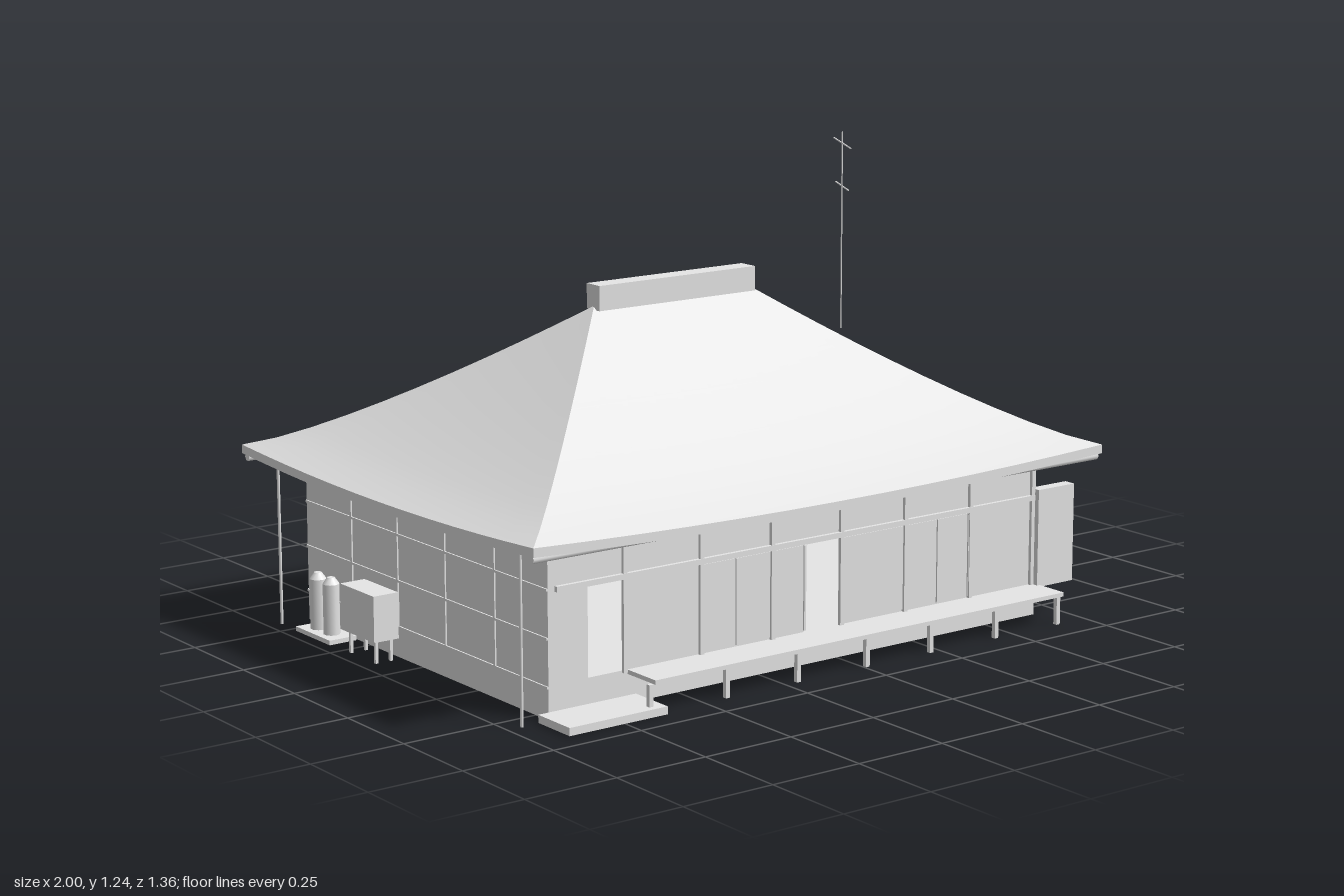
import * as THREE from 'three';

const plaster = new THREE.MeshStandardMaterial({ color: 0xe6e6e6, side: THREE.DoubleSide });
plaster.name = 'light grey';

export function createModel() {
  const model = new THREE.Group();
  model.name = 'house';

  const add = (name, geo) => {
    const m = new THREE.Mesh(geo, plaster);
    m.name = name;
    model.add(m);
    return m;
  };
  // Box given by its two extreme corners
  const box = (name, x0, x1, y0, y1, z0, z1) => {
    const m = add(name, new THREE.BoxGeometry(x1 - x0, y1 - y0, z1 - z0));
    m.position.set((x0 + x1) / 2, (y0 + y1) / 2, (z0 + z1) / 2);
    return m;
  };
  const pole = (name, x, z, y0, y1, r, sides = 8, rTop = r) => {
    const m = add(name, new THREE.CylinderGeometry(rTop, r, y1 - y0, sides));
    m.position.set(x, (y0 + y1) / 2, z);
    return m;
  };

  // Raised floor, thin walls running down to the ground as an open skirt
  const L = -0.88, R = 0.67, Z = 0.555, W = 0.006, top = 0.445;
  box('floor', L + W, R - W, 0.077, 0.084, -Z + W, Z - W);
  box('backWall', L, R, 0, top, -Z, -Z + W);
  box('leftOuterWall', L, L + W, 0, top, -Z, Z);
  box('rightOuterWall', R - W, R, 0, top, -Z, Z);

  const toShape = pts => pts.map(p => new THREE.Vector2(...p));
  const front = new THREE.Shape(toShape([[L, 0], [R, 0], [R, top], [L, top]]));
  for (const [a, b] of [[-0.765, -0.66], [-0.107, 0.01]]) {
    front.holes.push(new THREE.Path(toShape([[a, 0.085], [a, 0.31], [b, 0.31], [b, 0.085]])));
  }
  const frontWall = add('frontWall', new THREE.ExtrudeGeometry(front, { depth: W, bevelEnabled: false }));
  frontWall.position.z = Z - W;

  // Timber framing on front, back and left sides
  const bays = [-0.66, -0.43, -0.21, 0.01, 0.22, 0.44, 0.655];
  for (const x of bays) {
    box('frontPost', x - 0.006, x + 0.006, 0.08, 0.42, Z, Z + 0.009);
    if (x < 0.1) box('backPost', x - 0.003, x + 0.003, 0.08, 0.42, -Z - 0.004, -Z);
  }
  box('lintel', L + 0.02, R - 0.01, 0.313, 0.327, Z, Z + 0.01);
  box('topBeam', L, R, 0.412, 0.425, Z, Z + 0.009);
  for (const y of [0.08, 0.2, 0.32]) {
    box('backRail', L, R, y - 0.003, y + 0.003, -Z - 0.004, -Z);
    box('leftRail', L - 0.004, L, y - 0.003, y + 0.003, -Z, Z);
  }
  for (const z of [-0.33, -0.11, 0.11, 0.33]) box('leftPost', L - 0.004, L, 0.08, 0.42, z - 0.003, z + 0.003);
  box('rightRail', R, R + 0.003, 0.078, 0.083, -Z, Z);

  // Sliding doors
  for (const [a, b] of [[-0.32, -0.107], [0.01, 0.22], [0.225, 0.33], [0.33, 0.435], [-0.43, -0.32]]) {
    box('doorPanel', a + 0.004, b - 0.004, 0.09, 0.31, Z, Z + 0.003);
    for (const x of [a, b]) box('doorStile', x - 0.003, x + 0.003, 0.09, 0.31, Z, Z + 0.006);
  }

  // Back windows with raised frames
  for (const [a, b, c, d] of [[0.268, 0.383, 0.255, 0.337], [-0.615, -0.475, 0.215, 0.325]]) {
    const z0 = -Z - 0.012;
    box('windowPane', a, b, c, d, -Z - 0.007, -Z);
    for (const y of [c, d]) box('windowRail', a, b, y - 0.006, y + 0.006, z0, -Z);
    for (const x of [a, b]) box('windowStile', x - 0.006, x + 0.006, c - 0.006, d + 0.006, z0, -Z);
  }

  // Shutter box, veranda and entrance step
  box('shutterBox', 0.66, 0.785, 0.08, 0.343, 0.545, 0.578);
  box('verandaDeck', -0.65, R, 0.074, 0.085, Z, 0.67);
  for (const x of bays) box('verandaLeg', x - 0.006, x + 0.006, 0, 0.075, 0.655, 0.667);
  box('entranceStep', -0.91, -0.625, 0, 0.02, Z, 0.685);

  // Hipped roof: concave slope with eaves lifted at the corners
  const N = 10, M = 12;
  const corner = (t, i) => {
    const x0 = -1 + 0.65 * t, x1 = 0.79 - 0.645 * t, z = 0.675 * (1 - t);
    return [[x0, z], [x1, z], [x1, -z], [x0, -z]][i % 4];
  };
  const roofPoint = (side, t, u, drop) => {
    const a = corner(t, side), b = corner(t, side + 1), k = 2 * u - 1;
    const y = 0.465 + 0.395 * Math.pow(t, 1.25) - 0.022 * (1 - t) ** 2 * (1 - k * k) - drop;
    return [a[0] + (b[0] - a[0]) * u, y, a[1] + (b[1] - a[1]) * u];
  };
  const roofSheet = (name, rows, point, flip) => {
    const pos = [], idx = [];
    for (let j = 0; j <= rows; j++) for (let i = 0; i <= M; i++) pos.push(...point(j / rows, i / M));
    for (let j = 0; j < rows; j++) for (let i = 0; i < M; i++) {
      const a = j * (M + 1) + i, b = a + 1, c = a + M + 1, d = c + 1;
      idx.push(...(flip ? [a, d, b, a, c, d] : [a, b, d, a, d, c]));
    }
    const g = new THREE.BufferGeometry();
    g.setAttribute('position', new THREE.Float32BufferAttribute(pos, 3));
    g.setIndex(idx);
    g.computeVertexNormals();
    add(name, g);
  };
  for (let s = 0; s < 4; s++) {
    roofSheet('roofSlope', N, (t, u) => roofPoint(s, t, u, 0), false);
    roofSheet('roofUnderside', N, (t, u) => roofPoint(s, t, u, 0.023), true);
    roofSheet('eaveFascia', 1, (t, u) => roofPoint(s, 0, u, 0.023 * (1 - t)), false);
  }
  box('ridgeCap', -0.353, 0.145, 0.85, 0.915, -0.028, 0.028);

  // Gutters and downspouts
  for (const s of [-1, 1]) {
    const gutter = add('gutter', new THREE.CylinderGeometry(0.011, 0.011, 1.78, 6));
    gutter.rotation.z = Math.PI / 2;
    gutter.position.set(-0.105, 0.434, s * 0.658);
    pole('downspout', -0.96, s * 0.56, 0, 0.45, 0.004, 6);
  }

  // Side annex with a lean-to roof
  box('annexBody', R, 0.97, 0.041, 0.31, -0.44, 0.215);
  const prism = (name, pts, z0, z1) => {
    const g = new THREE.ExtrudeGeometry(new THREE.Shape(toShape(pts)), { depth: z1 - z0, bevelEnabled: false });
    add(name, g).position.z = z0;
  };
  prism('annexGable', [[R, 0.31], [0.97, 0.31], [R, 0.362]], -0.44, 0.215);
  prism('annexRoof', [[R, 0.36], [1, 0.303], [1, 0.311], [R, 0.372]], -0.465, 0.24);
  box('annexFlashing', R, 0.685, 0.37, 0.4, -0.475, 0.255);

  // Flue pipe with cap
  pole('fluePipe', 0.525, -0.605, 0.03, 0.7, 0.009);
  pole('flueCap', 0.525, -0.605, 0.695, 0.718, 0.028, 5, 0.004);

  // Roof aerial
  pole('aerialMast', 0.46, 0, 0.71, 1.24, 0.002, 6);
  for (const [y, len] of [[1.21, 0.222], [1.095, 0.166]]) {
    const bar = add('aerialBar', new THREE.BoxGeometry(0.003, 0.003, len));
    bar.position.set(0.46, y, 0);
    bar.rotation.y = -0.48;
  }

  // Outdoor unit on legs and gas bottles by the left wall
  box('outdoorUnit', -0.972, -0.9, 0.06, 0.18, -0.24, -0.08);
  for (const x of [-0.955, -0.912]) for (const z of [-0.22, -0.1]) box('unitLeg', x - 0.004, x + 0.004, 0, 0.06, z - 0.004, z + 0.004);
  box('bottleSlab', -0.965, -0.885, 0, 0.012, -0.48, -0.31);
  for (const z of [-0.43, -0.365]) {
    pole('gasBottle', -0.925, z, 0.012, 0.145, 0.022, 10);
    pole('gasBottleNeck', -0.925, z, 0.145, 0.162, 0.022, 10, 0.01);
  }
  return model;
}
